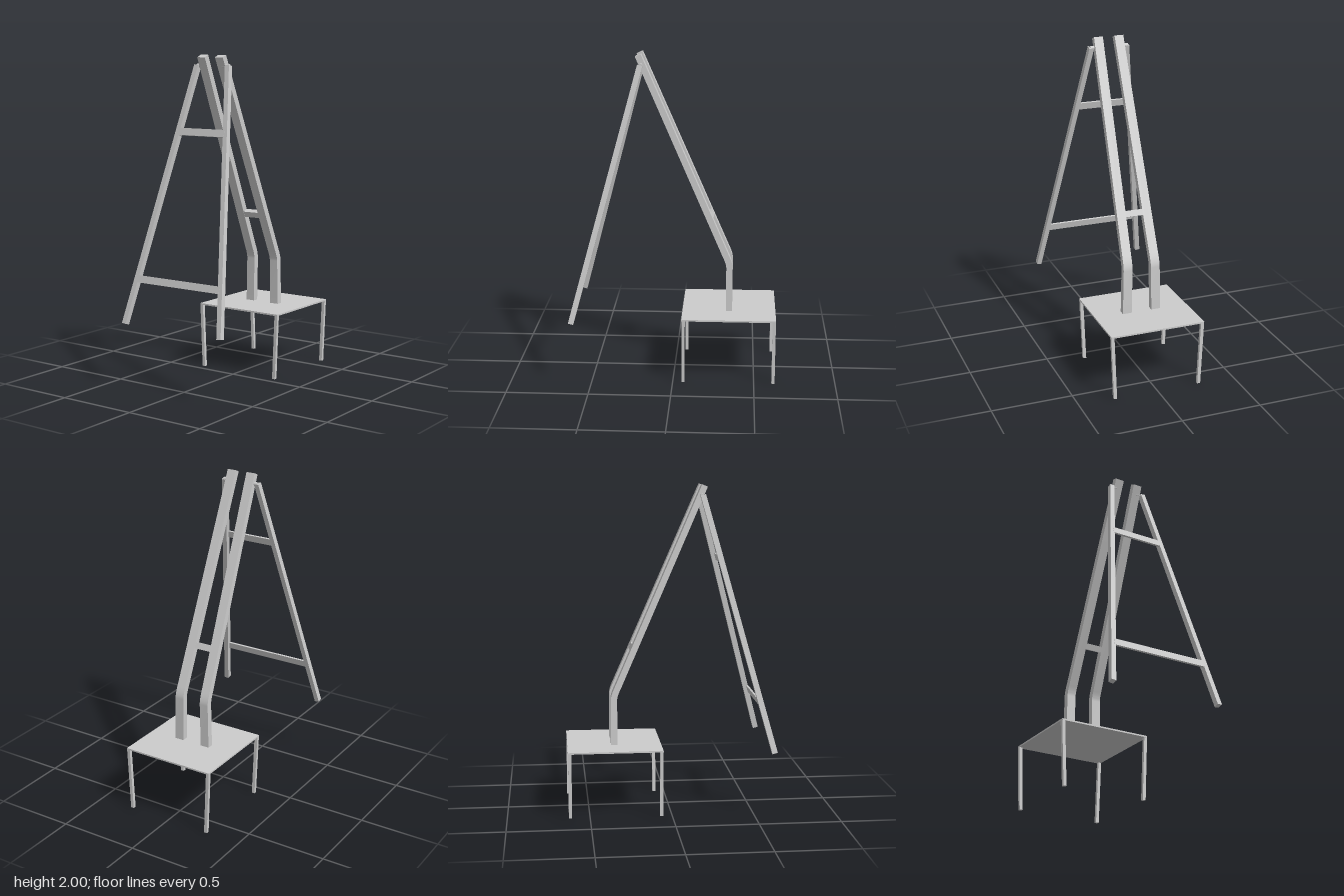
import * as THREE from 'three';
import { toCreasedNormals } from 'three/addons/utils/BufferGeometryUtils.js';

const material = new THREE.MeshStandardMaterial({ color: 0xcccccc });

function add(parent, name, geometry, x = 0, y = 0, z = 0) {
  const mesh = new THREE.Mesh(geometry, material);
  mesh.name = name;
  mesh.position.set(x, y, z);
  parent.add(mesh);
  return mesh;
}

const box = (w, h, d) => new THREE.BoxGeometry(w, h, d);

// Moves each vertex sideways along z as a function of its height
function lean(geometry, offset) {
  const p = geometry.attributes.position;
  for (let i = 0; i < p.count; i++) p.setZ(i, p.getZ(i) + offset(p.getY(i)));
  geometry.computeVertexNormals();
  return geometry;
}

// Bent rail: straight foot, curved knee, long sloping run
function railGeometry(side) {
  const s = new THREE.Shape();
  s.moveTo(0.322, 0.41);
  s.lineTo(0.361, 0.41);
  s.lineTo(0.361, 0.69);
  s.quadraticCurveTo(0.361, 0.72, 0.336, 0.772);
  s.lineTo(-0.2, 2.0);
  s.lineTo(-0.234, 1.985);
  s.lineTo(0.301, 0.757);
  s.quadraticCurveTo(0.322, 0.715, 0.322, 0.69);
  s.closePath();
  const g = new THREE.ExtrudeGeometry(s, { depth: 0.057, bevelEnabled: false, curveSegments: 8 });
  g.translate(0, 0, -0.0285);
  lean(g, (y) => side * (0.066 + 0.027 * (2 - y) / 1.59));
  return toCreasedNormals(g, 0.5);
}

export function createModel() {
  const model = new THREE.Group();
  model.name = 'frameWithTable';

  // Low table
  const table = new THREE.Group();
  table.name = 'table';
  model.add(table);
  add(table, 'tableTop', box(0.577, 0.01, 0.594), 0.3415, 0.407, 0);
  for (const x of [0.064, 0.619]) {
    for (const side of [-1, 1]) {
      const leg = lean(box(0.02, 0.402, 0.02), (y) => side * 0.016 * (y / 0.402));
      add(table, 'tableLeg', leg, x, 0.201, side * 0.279);
    }
  }

  // Pair of bent rails with a crosspiece and hinge pins
  for (const side of [-1, 1]) {
    add(model, 'bentRail', railGeometry(side));
    const pin = add(model, 'hingePin', new THREE.CylinderGeometry(0.012, 0.012, 0.05, 16), -0.2, 1.935, side * 0.095);
    pin.rotation.x = Math.PI / 2;
  }
  const cross = add(model, 'railCrosspiece', box(0.036, 0.038, 0.13), 0.216, 1.0, 0);
  cross.rotation.z = Math.atan2(0.4, 0.917);

  // Rear prop: two splayed legs and two rungs in one tilted plane
  const prop = new THREE.Group();
  prop.name = 'rearProp';
  prop.position.set(-0.203, 1.937, 0);
  prop.rotation.z = -Math.atan2(0.413, 1.542);
  model.add(prop);
  const drop = 1.597, spread = 0.24;
  for (const side of [-1, 1]) {
    const leg = add(prop, 'propLeg', box(0.033, Math.hypot(drop, spread), 0.03), 0, -drop / 2, side * (0.114 + spread / 2));
    leg.rotation.x = -side * Math.atan2(spread, drop);
  }
  for (const t of [0.257, 0.826]) {
    add(prop, 'propRung', box(0.012, 0.044, 2 * (0.114 + spread * t) - 0.01), -0.0115, -drop * t, 0);
  }
  return model;
}
